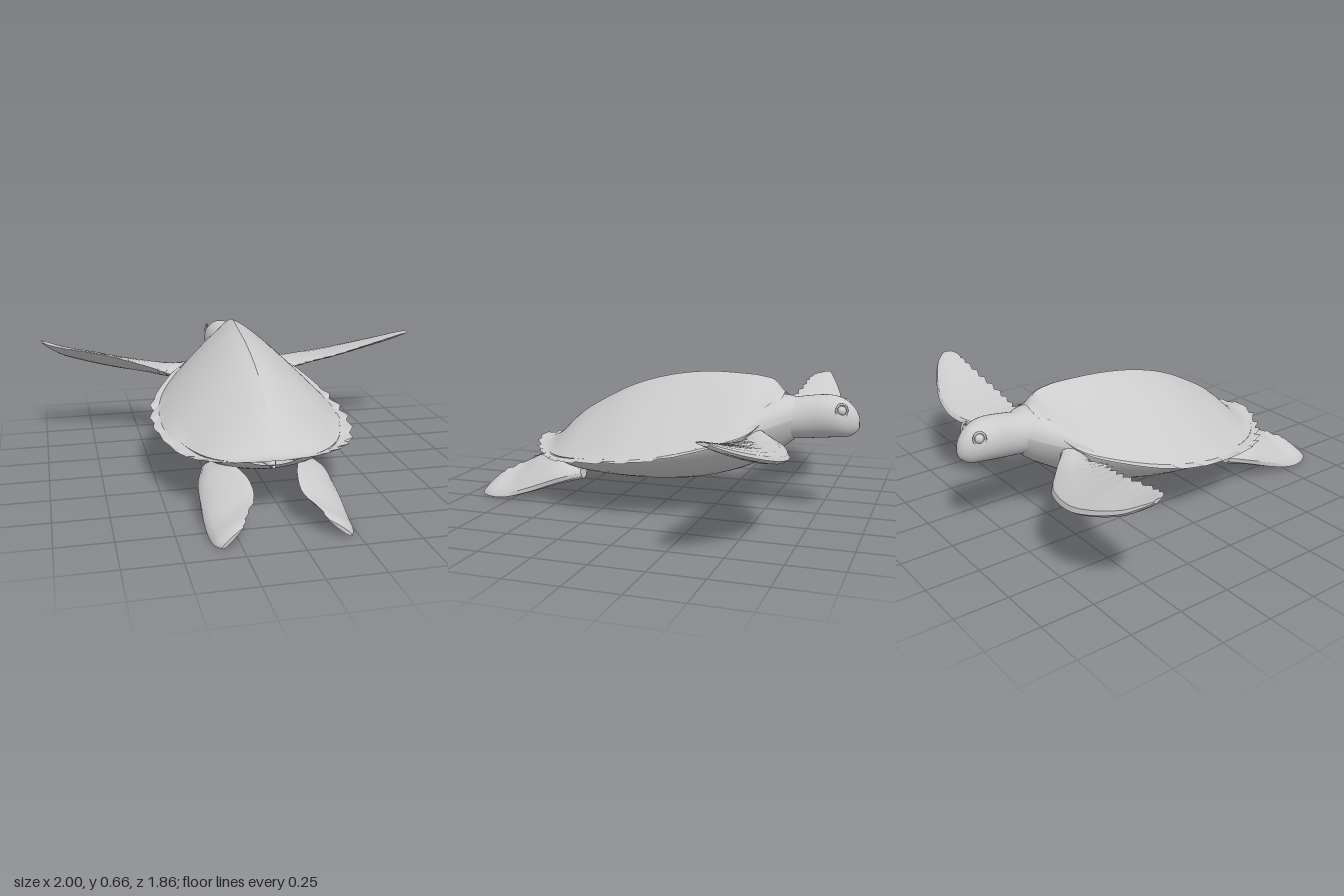
import * as THREE from 'three';
import { toCreasedNormals } from 'three/addons/utils/BufferGeometryUtils.js';

const material = new THREE.MeshStandardMaterial({ color: 0xcccccc, side: THREE.DoubleSide });

// Smoothly resample a short table of rows to n + 1 rows
function resample(rows, n) {
  const curve = new THREE.CubicInterpolant(rows.map((_, i) => i), rows.flat(), rows[0].length);
  return Array.from({ length: n + 1 }, (_, i) => Array.from(curve.evaluate((i / n) * (rows.length - 1))));
}

// Skin a list of cross-sections; closed ones become capped loops
function loft(sections, closed, crease = 0.6) {
  const n = sections[0].length, pos = sections.flat(), index = [];
  const cols = closed ? n : n - 1;
  for (let i = 0; i < sections.length - 1; i++) {
    for (let j = 0; j < cols; j++) {
      const a = i * n + j, b = i * n + (j + 1) % n;
      index.push(a, b, a + n, b, b + n, a + n);
    }
  }
  if (closed) {
    const last = (sections.length - 1) * n;
    for (let j = 1; j < n - 1; j++) index.push(0, j + 1, j, last, last + j, last + j + 1);
  }
  // Turn all faces outward if the skin came out inverted
  const mid = pos.reduce((s, p) => s.add(p), new THREE.Vector3()).divideScalar(pos.length);
  const at = (k) => pos[k].clone().sub(mid);
  let volume = 0;
  for (let k = 0; k < index.length; k += 3) volume += at(index[k]).dot(at(index[k + 1]).cross(at(index[k + 2])));
  if (volume < 0) index.reverse();
  const geo = new THREE.BufferGeometry().setFromPoints(pos);
  geo.setIndex(index);
  return toCreasedNormals(geo, crease);
}

// Arc across the body at z, rising (or sinking) from height mid to peak at its centre
function arc([z, cx, hw, mid, peak], power) {
  const n = 20;
  return Array.from({ length: n + 1 }, (_, k) => {
    const a = (k / n) * Math.PI;
    return new THREE.Vector3(cx + hw * Math.cos(a), mid + (peak - mid) * Math.pow(Math.sin(a), power), z);
  });
}

// Domed, peaked shell with a flared, notched margin that widens to the rear
function carapaceGeometry() {
  const rows = resample([ // z, centre x, half width, ridge y, rim y
    [-0.585, 0, 0.07, 0.583, 0.565], [-0.535, 0, 0.16, 0.637, 0.49], [-0.48, 0, 0.26, 0.652, 0.425],
    [-0.4, -0.005, 0.34, 0.66, 0.39], [-0.2, -0.025, 0.43, 0.66, 0.335], [0, -0.03, 0.47, 0.632, 0.295],
    [0.2, -0.03, 0.465, 0.57, 0.275], [0.4, -0.03, 0.415, 0.465, 0.255], [0.5, -0.035, 0.355, 0.395, 0.25],
    [0.58, -0.045, 0.27, 0.318, 0.255], [0.64, -0.05, 0.18, 0.285, 0.265], [0.705, -0.06, 0.04, 0.285, 0.283],
  ], 66);
  const half = 12;
  return loft(rows.map(([z, cx, hw, ridge, rim], i) => Array.from({ length: 2 * half + 1 }, (_, j) => {
    const t = (j - half) / half, u = Math.abs(t);
    const dome = 0.93 - 0.11 * THREE.MathUtils.smoothstep(z, 0, 0.6);
    const notch = u === 1 && z > -0.2 ? ((i % 4) / 3 - 0.5) : 0;
    const y = rim + (ridge - rim) * (1 - Math.pow(Math.min(1, u / dome), 1.28));
    return new THREE.Vector3(cx + t * hw + Math.sign(t) * notch * 0.018, y + notch * 0.012, z + (z > 0.45 ? notch * 0.02 : 0));
  })), false, 0.45);
}

// Flipper: rows of leading edge xyz, trailing edge xyz, thickness
function flipperGeometry(table, steps, rag, ragFrom, ragTo) {
  const sides = 14;
  const [start, end] = [table[0], table.at(-1)].map((r) => new THREE.Vector3(r[0], r[1], r[2]));
  const span = end.sub(start);
  return loft(resample(table, steps).map((r, i) => {
    const lead = new THREE.Vector3(r[0], r[1], r[2]), trail = new THREE.Vector3(r[3], r[4], r[5]);
    const chord = trail.sub(lead), f = i / steps;
    const up = span.clone().cross(chord).normalize();
    if (f > ragFrom && f < ragTo) chord.multiplyScalar(1 + rag * ((i % 3) / 2 - 0.5));
    return Array.from({ length: sides }, (_, k) => {
      const a = (k / sides) * Math.PI * 2, u = (1 - Math.cos(a)) / 2;
      // Thick leading edge thinning toward the trailing edge
      return lead.clone().addScaledVector(chord, u).addScaledVector(up, Math.sin(a) * r[6] * 0.5 * (1.4 - u));
    });
  }), true);
}

export function createModel() {
  const group = new THREE.Group();
  const add = (name, geometry) => {
    const mesh = new THREE.Mesh(geometry, material);
    mesh.name = name;
    group.add(mesh);
    return mesh;
  };

  add('carapace', carapaceGeometry());

  // Hull-shaped belly, tucked under the shell's rim
  add('belly', loft(resample([ // z, centre x, half width, edge y, bottom y
    [-0.64, 0, 0.1, 0.47, 0.365], [-0.58, 0, 0.15, 0.45, 0.315], [-0.5, 0, 0.215, 0.425, 0.265],
    [-0.4, -0.005, 0.305, 0.4, 0.21], [-0.2, -0.025, 0.39, 0.345, 0.15], [0, -0.03, 0.425, 0.305, 0.13],
    [0.2, -0.03, 0.415, 0.283, 0.13], [0.4, -0.03, 0.355, 0.262, 0.143], [0.52, -0.04, 0.28, 0.256, 0.178],
    [0.6, -0.05, 0.195, 0.26, 0.215], [0.65, -0.05, 0.11, 0.268, 0.245],
  ], 30).map((r) => arc(r, 1.5)), false));

  // Shoulders, running from the neck in under the shell
  add('shoulders', loft(resample([ // z, centre x, half width, edge y, top y
    [-0.64, 0, 0.1, 0.47, 0.56], [-0.58, 0, 0.15, 0.45, 0.57], [-0.5, 0, 0.215, 0.425, 0.55],
    [-0.42, -0.005, 0.29, 0.407, 0.49],
  ], 12).map((r) => arc(r, 1)), false));

  // Neck and head
  add('head', loft(resample([ // z, half width, bottom y, top y
    [-0.55, 0.13, 0.36, 0.56], [-0.62, 0.1, 0.365, 0.56], [-0.7, 0.09, 0.37, 0.572], [-0.78, 0.092, 0.378, 0.58],
    [-0.84, 0.085, 0.384, 0.572], [-0.89, 0.06, 0.39, 0.545], [-0.92, 0.037, 0.41, 0.51], [-0.935, 0.012, 0.43, 0.475],
  ], 24).map(([z, hw, bottom, top]) => {
    const mid = (bottom + top) / 2;
    return [...arc([z, 0, hw, mid, top], 1).slice(0, -1), ...arc([z, 0, -hw, mid, bottom], 1).slice(0, -1)];
  }), true));

  // Eyes with lids
  for (const [side, word] of [[1, 'left'], [-1, 'right']]) {
    const eye = add(word + 'Eye', new THREE.SphereGeometry(0.022, 14, 10));
    const lid = add(word + 'Eyelid', new THREE.TorusGeometry(0.026, 0.005, 6, 18));
    eye.position.set(side * 0.06, 0.517, -0.858);
    lid.position.set(side * 0.068, 0.518, -0.86);
    lid.rotation.y = side * 2.0;
    lid.scale.y = 1.2;
  }

  // Front flippers, each in its own stroke position
  add('leftFrontFlipper', flipperGeometry([
    [0.14, 0.4, -0.52, 0.17, 0.395, -0.38, 0.1], [0.2, 0.395, -0.55, 0.25, 0.375, -0.43, 0.09],
    [0.3, 0.375, -0.645, 0.36, 0.395, -0.42, 0.07], [0.42, 0.375, -0.695, 0.45, 0.415, -0.42, 0.06],
    [0.55, 0.385, -0.71, 0.58, 0.44, -0.42, 0.055], [0.7, 0.415, -0.685, 0.72, 0.473, -0.43, 0.05],
    [0.85, 0.46, -0.62, 0.86, 0.508, -0.435, 0.04], [0.95, 0.5, -0.56, 0.95, 0.53, -0.44, 0.03],
    [1, 0.53, -0.505, 0.995, 0.535, -0.45, 0.015],
  ], 48, 0.07, 0.22, 0.85));
  add('rightFrontFlipper', flipperGeometry([
    [-0.14, 0.4, -0.5, -0.17, 0.395, -0.39, 0.1], [-0.2, 0.39, -0.54, -0.3, 0.37, -0.44, 0.09],
    [-0.3, 0.36, -0.635, -0.38, 0.395, -0.43, 0.075], [-0.42, 0.355, -0.725, -0.45, 0.42, -0.455, 0.065],
    [-0.6, 0.375, -0.765, -0.58, 0.455, -0.5, 0.06], [-0.75, 0.415, -0.75, -0.72, 0.49, -0.53, 0.055],
    [-0.88, 0.465, -0.71, -0.87, 0.52, -0.54, 0.045], [-0.96, 0.515, -0.67, -0.95, 0.538, -0.56, 0.03],
    [-1, 0.545, -0.645, -0.985, 0.545, -0.595, 0.015],
  ], 48, 0.07, 0.22, 0.85));

  // Rear flippers with blunt toes, mirrored about the tail's axis
  const rear = [
    [0.2, 0.14, 0.38, 0.08, 0.19, 0.4, 0.06], [0.235, 0.105, 0.5, 0.09, 0.22, 0.52, 0.065],
    [0.25, 0.05, 0.65, 0.05, 0.2, 0.66, 0.055], [0.25, 0.012, 0.78, 0.045, 0.155, 0.76, 0.04],
    [0.24, 0.005, 0.87, 0.095, 0.115, 0.85, 0.03], [0.215, 0.01, 0.925, 0.12, 0.08, 0.895, 0.018],
  ];
  add('leftRearFlipper', flipperGeometry(rear, 25, 0.08, 0.6, 1));
  add('rightRearFlipper', flipperGeometry(
    rear.map(([a, b, c, d, e, f, g]) => [-0.12 - a, b, c, -0.12 - d, e, f, g]), 25, 0.08, 0.6, 1));

  // Short tail
  const tail = add('tail', new THREE.ConeGeometry(0.04, 0.14, 12));
  tail.position.set(-0.05, 0.23, 0.6);
  tail.rotation.x = Math.PI / 2;
  tail.scale.z = 0.6;

  return group;
}
